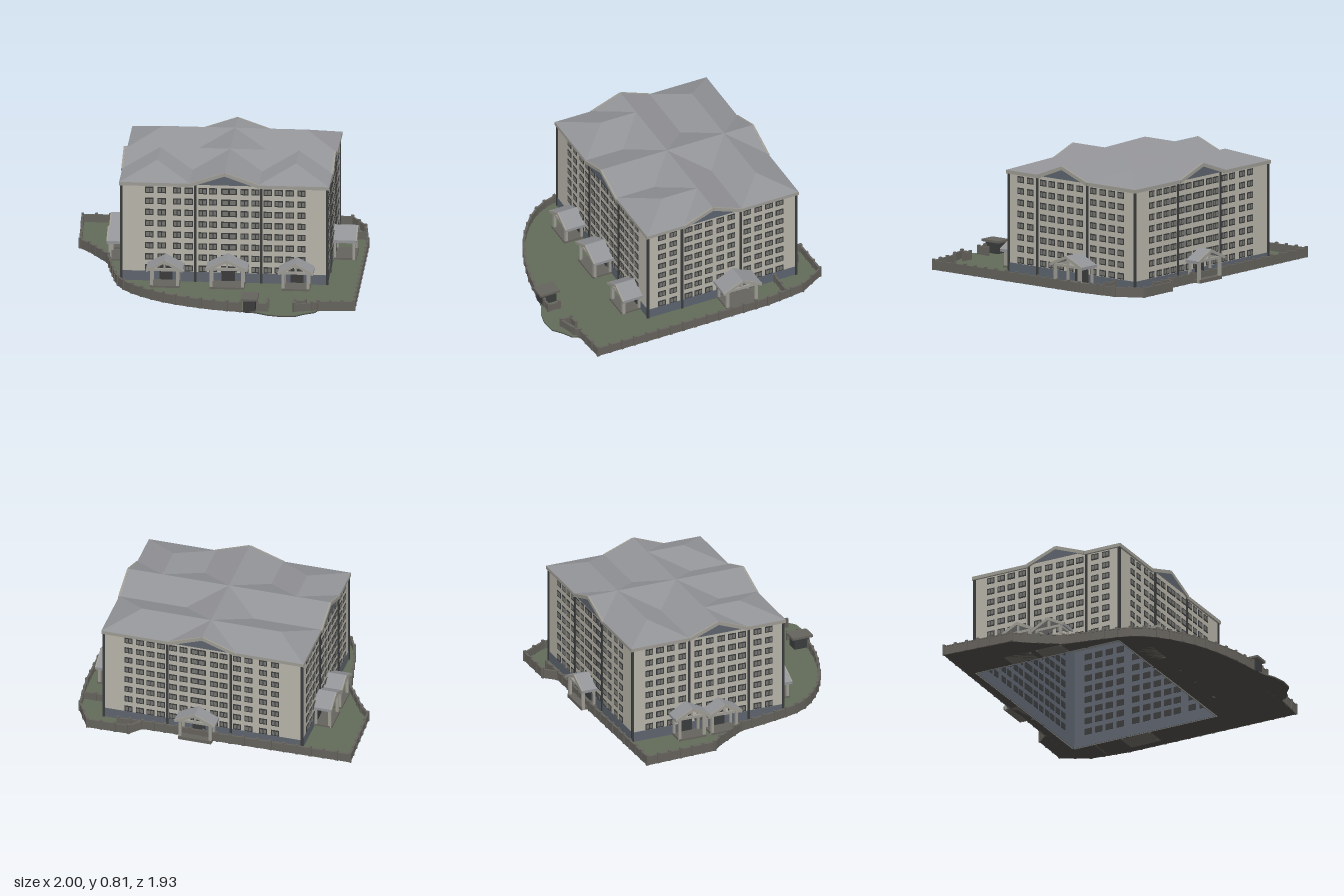
import * as THREE from 'three';
import { mergeGeometries } from 'three/addons/utils/BufferGeometryUtils.js';

const mat = (color) => {
  const m = new THREE.MeshStandardMaterial({ flatShading: true });
  m.color.set(color);
  return m;
};
const M = {
  wall: mat(0xb6b3a8), trim: mat(0x9c9a92), roof: mat(0x929397), blue: mat(0x5c636d),
  dark: mat(0x3a3b3c), pane: mat(0x73736e), grass: mat(0x616b59), soil: mat(0x4a4642), fence: mat(0x65625c),
};

// Box given by its centre and size
const box = (x, y, z, w, h, d, ry = 0) =>
  new THREE.BoxGeometry(w, h, d).rotateY(ry).translate(x, y, z);

const part = (parent, name, geo, material) => {
  const m = new THREE.Mesh(Array.isArray(geo) ? mergeGeometries(geo) : geo, material);
  m.name = name;
  parent.add(m);
  return m;
};

// Flat plan of [x, z] points with a hole (wound the other way), raised from y0 to y1
const toPoints = (pts) => pts.map(([x, z]) => new THREE.Vector2(x, -z));
function slab(pts, hole, y0, y1) {
  const s = new THREE.Shape(toPoints(pts));
  s.holes.push(new THREE.Path(toPoints(hole).reverse()));
  return new THREE.ExtrudeGeometry(s, { depth: y1 - y0, bevelEnabled: false })
    .rotateX(-Math.PI / 2).translate(0, y0, 0);
}
const rect = (x0, x1, z0, z1) => [[x0, z0], [x1, z0], [x1, z1], [x0, z1]];

// Building limits
const X0 = -0.635, X1 = 0.77, Z0 = -0.815, Z1 = 0.305;
const RX0 = -0.65, RX1 = 0.785, RZ0 = -0.83, RZ1 = 0.32;
const CX = 0.07, CZ = -0.18, EAVE = 0.72, TOP = 0.805;
const ring = (inset, t, y0, y1) => {
  const a = inset, b = inset + t;
  return slab(rect(X0 + a, X1 - a, Z0 + a, Z1 - a), rect(X0 + b, X1 - b, Z0 + b, Z1 - b), y0, y1);
};

// Closed pitched roof, ridge along local z from a to b; insets > 0 make hipped ends
function pitchedRoof(w, a, b, insetA, insetB) {
  const p = [-w, EAVE, a, w, EAVE, a, w, EAVE, b, -w, EAVE, b, 0, TOP, a + insetA, 0, TOP, b - insetB];
  const g = new THREE.BufferGeometry();
  g.setAttribute('position', new THREE.Float32BufferAttribute(p, 3));
  g.setIndex([0, 3, 5, 0, 5, 4, 1, 4, 5, 1, 5, 2, 3, 2, 5, 1, 0, 4, 0, 1, 2, 0, 2, 3]);
  const flat = g.toNonIndexed();
  flat.computeVertexNormals();
  return flat;
}

function buildRoof(group) {
  const half = 0.2425, cross = 0.22, turn = Math.PI / 2;
  part(group, 'roof', [
    pitchedRoof(half, RZ0, RZ1, 0, 0).translate(CX, 0, 0),
    pitchedRoof(half, CZ, RZ1, 0, 0.235).translate(RX0 + half, 0, 0),
    pitchedRoof(half, CZ, RZ1, 0, 0.235).translate(RX1 - half, 0, 0),
    pitchedRoof(cross, RX0, RX1, 0, 0).rotateY(turn).translate(0, 0, CZ),
    pitchedRoof(0.217, RX0, RX1, 0.225, 0.225).rotateY(turn).translate(0, 0, -0.613),
  ], M.roof);

  // Eave boards between the gables
  const boards = [], y = 0.708, h = 0.024, t = 0.016;
  for (const z of [RZ0 + t / 2, RZ1 - t / 2])
    for (const [a, b] of [[RX0, CX - half], [CX + half, RX1]]) boards.push(box((a + b) / 2, y, z, b - a, h, t));
  for (const x of [RX0 + t / 2, RX1 - t / 2])
    for (const [a, b] of [[RZ0, CZ - cross], [CZ + cross, RZ1]]) boards.push(box(x, y, (a + b) / 2, t, h, b - a));

  // Sloping boards and blue infill on the four gables
  const infill = [];
  const gable = (x, z, ry, w) => {
    const rise = TOP - EAVE, len = Math.hypot(w, rise);
    for (const s of [-1, 1])
      boards.push(new THREE.BoxGeometry(len, 0.024, 0.014).rotateZ(-s * Math.atan2(rise, w))
        .translate(s * w / 2, (TOP + EAVE) / 2 - 0.012, 0).rotateY(ry).translate(x, 0, z));
    const tri = new THREE.Shape([new THREE.Vector2(-w, EAVE), new THREE.Vector2(w, EAVE), new THREE.Vector2(0, TOP)]);
    infill.push(new THREE.ShapeGeometry(tri).translate(0, -0.006, 0.003).rotateY(ry).translate(x, 0, z));
  };
  gable(CX, RZ1, 0, half);
  gable(CX, RZ0, Math.PI, half);
  gable(RX1, CZ, Math.PI / 2, cross);
  gable(RX0, CZ, -Math.PI / 2, cross);
  part(group, 'eaveBoards', boards, M.trim);
  part(group, 'gableInfill', infill, M.blue);
}

function buildWalls(group) {
  part(group, 'walls', ring(0, 0.01, 0, EAVE), M.wall);
  part(group, 'wallLining', ring(0.01, 0.004, 0, EAVE), M.blue);
  part(group, 'plinth', ring(-0.003, 0.006, 0, 0.08), M.blue);

  // Eight rows of windows on each side, each a frame with two panes
  const frames = [], panes = [];
  const addWindow = (u, y, w, along, face, out) => {
    const put = (list, du, ww, h, depth, off) => list.push(along === 'x'
      ? box(u + du, y, face + out * off, ww, h, depth)
      : box(face + out * off, y, u + du, depth, h, ww));
    put(frames, 0, w, 0.044, 0.022, -0.007);
    for (const s of [-1, 1]) put(panes, s * w * 0.22, w * 0.34, 0.028, 0.006, 0.003);
  };
  const colsX = [-0.445, -0.36, -0.255, -0.175, -0.08, -0.01, 0.205, 0.28, 0.365, 0.44, 0.515, 0.595];
  const colsZ = [0.2, 0.115, 0.0, -0.075, -0.155, -0.24, -0.325, -0.445, -0.53, -0.61, -0.69];
  for (let i = 0; i < 8; i++) {
    const y = 0.105 + i * 0.08;
    for (const [face, out] of [[Z1, 1], [Z0, -1]]) {
      colsX.forEach((x) => addWindow(x, y, 0.056, 'x', face, out));
      addWindow(0.1, y, 0.11, 'x', face, out);
    }
    for (const [face, out] of [[X1, 1], [X0, -1]])
      colsZ.forEach((z) => addWindow(z, y, 0.056, 'z', face, out));
  }
  part(group, 'windowFrames', frames, M.dark);
  part(group, 'windowPanes', panes, M.pane);

  // Corner strips and downpipes
  const pipes = [];
  const pipe = (x, z) => pipes.push(box(x, 0.355, z, 0.016, 0.71, 0.016));
  for (const z of [Z0, Z1]) [X0, -0.13, 0.32, X1].forEach((x) => pipe(x, z));
  for (const x of [X0, X1]) [0.05, -0.395].forEach((z) => pipe(x, z));
  part(group, 'downpipes', pipes, M.dark);
}

// Gabled entrance porch; local +z points away from the wall
function porch(name, x, z, ry, width, depth, peak) {
  const g = new THREE.Group(), w = width / 2, e = peak - 0.065, t = 0.02;
  g.name = name;
  const chevron = new THREE.Shape([[-w, e - t], [0, peak - t], [w, e - t], [w, e], [0, peak], [-w, e]]
    .map(([a, b]) => new THREE.Vector2(a, b)));
  part(g, 'porchRoof', new THREE.ExtrudeGeometry(chevron, { depth, bevelEnabled: false }), M.roof);
  const px = w - 0.035, front = depth - 0.022, timbers = [];
  for (const s of [-1, 1]) {
    timbers.push(box(s * px, e / 2, front, 0.02, e, 0.02), box(s * px, e / 2, 0.01, 0.016, e, 0.016),
      box(s * px, e - 0.01, depth / 2, 0.016, 0.02, depth - 0.02),
      new THREE.BoxGeometry(Math.hypot(w, 0.065), 0.02, 0.01)
        .rotateZ(-s * Math.atan2(0.065, w)).translate(s * w / 2, peak - 0.043, depth - 0.004));
  }
  timbers.push(box(0, e - 0.008, front, width - 0.05, 0.018, 0.016), box(0, peak - 0.045, front, 0.014, 0.05, 0.014));
  part(g, 'porchTimbers', timbers, M.trim);
  part(g, 'porchStep', box(0, 0.012, depth / 2, width - 0.05, 0.024, depth - 0.01), M.fence);
  part(g, 'porchDoor', box(0, 0.065, 0.004, 0.09, 0.11, 0.012), M.dark);
  g.position.set(x, 0, z);
  g.rotation.y = ry;
  return g;
}

// Wall of posts and panels following a list of [x, z] points
function fence(pts, list) {
  for (let i = 0; i + 1 < pts.length; i++) {
    const [ax, az] = pts[i], [bx, bz] = pts[i + 1];
    const len = Math.hypot(bx - ax, bz - az), ry = -Math.atan2(bz - az, bx - ax);
    const n = Math.max(1, Math.round(len / 0.09));
    for (let k = 0; k < n; k++) {
      const at = (f) => [ax + (bx - ax) * f, az + (bz - az) * f];
      const [mx, mz] = at((k + 0.5) / n), [qx, qz] = at(k / n);
      list.push(box(mx, 0.03, mz, len / n, 0.06, 0.008, ry), box(mx, 0.062, mz, len / n, 0.008, 0.014, ry),
        box(qx, 0.038, qz, 0.018, 0.076, 0.018, ry));
    }
    list.push(box(bx, 0.038, bz, 0.018, 0.076, 0.018, ry));
  }
}

function buildGrounds(group) {
  const east = [[0.65, -0.885], [0.48, -0.875], [0.555, -0.955], [0.845, -0.96], [0.95, -0.78], [0.985, -0.5], [0.99, 0.79], [0.75, 0.81]];
  const gateway = [[0.73, 0.86], [0.66, 0.9], [0.6, 0.95], [0.5, 0.96], [0.41, 0.94], [0.33, 0.9]];
  // Rounded front boundary
  const sweep = new THREE.SplineCurve([[0.22, 0.875], [0, 0.835], [-0.29, 0.73], [-0.5, 0.59], [-0.635, 0.43], [-0.7, 0.21], [-0.755, -0.06]]
    .map(([x, z]) => new THREE.Vector2(x, z))).getSpacedPoints(16).map((p) => [p.x, p.y]);
  const west = [...sweep, [-0.9, -0.28], [-0.965, -0.35], [-0.99, -0.86], [-0.05, -0.875], [0.24, -0.87], [0.48, -0.875]];
  const outline = [...east.slice(2), ...gateway, ...west];
  const hole = rect(X0, X1, Z0, Z1);
  part(group, 'soil', slab(outline, hole, 0, 0.006), M.soil);
  part(group, 'lawn', slab(outline, hole, 0.006, 0.011), M.grass);

  const walls = [];
  fence(east, walls);
  fence(west, walls);
  fence([[0.75, 0.81], [0.71, 0.84], [0.59, 0.875], [0.59, 0.8], [0.66, 0.8]], walls);
  fence([[0.34, 0.88], [0.405, 0.88], [0.405, 0.8]], walls);
  fence([[0.79, -0.65], [0.965, -0.65]], walls);
  part(group, 'boundaryWall', walls, M.fence);

  // Gatehouse
  part(group, 'gatehouse', box(0.282, 0.045, 0.835, 0.085, 0.09, 0.11), M.dark);
  part(group, 'gatehouseRoof', box(0.282, 0.097, 0.835, 0.115, 0.016, 0.15), M.fence);
}

export function createModel() {
  const model = new THREE.Group();
  model.name = 'apartmentBlock';
  buildWalls(model);
  buildRoof(model);
  buildGrounds(model);
  const q = Math.PI / 2;
  model.add(
    porch('frontPorchRight', -0.33, Z1, 0, 0.25, 0.15, 0.208),
    porch('frontPorchMiddle', 0.095, Z1, 0, 0.285, 0.15, 0.222),
    porch('frontPorchLeft', 0.565, Z1, 0, 0.24, 0.15, 0.208),
    porch('backPorch', 0.095, Z0, Math.PI, 0.285, 0.115, 0.222),
    porch('leftPorch', X1, -0.335, q, 0.285, 0.163, 0.225),
    porch('rightPorchBack', X0, -0.42, -q, 0.25, 0.13, 0.243),
    porch('rightPorchFront', X0, -0.18, -q, 0.25, 0.13, 0.225),
  );
  return model;
}
